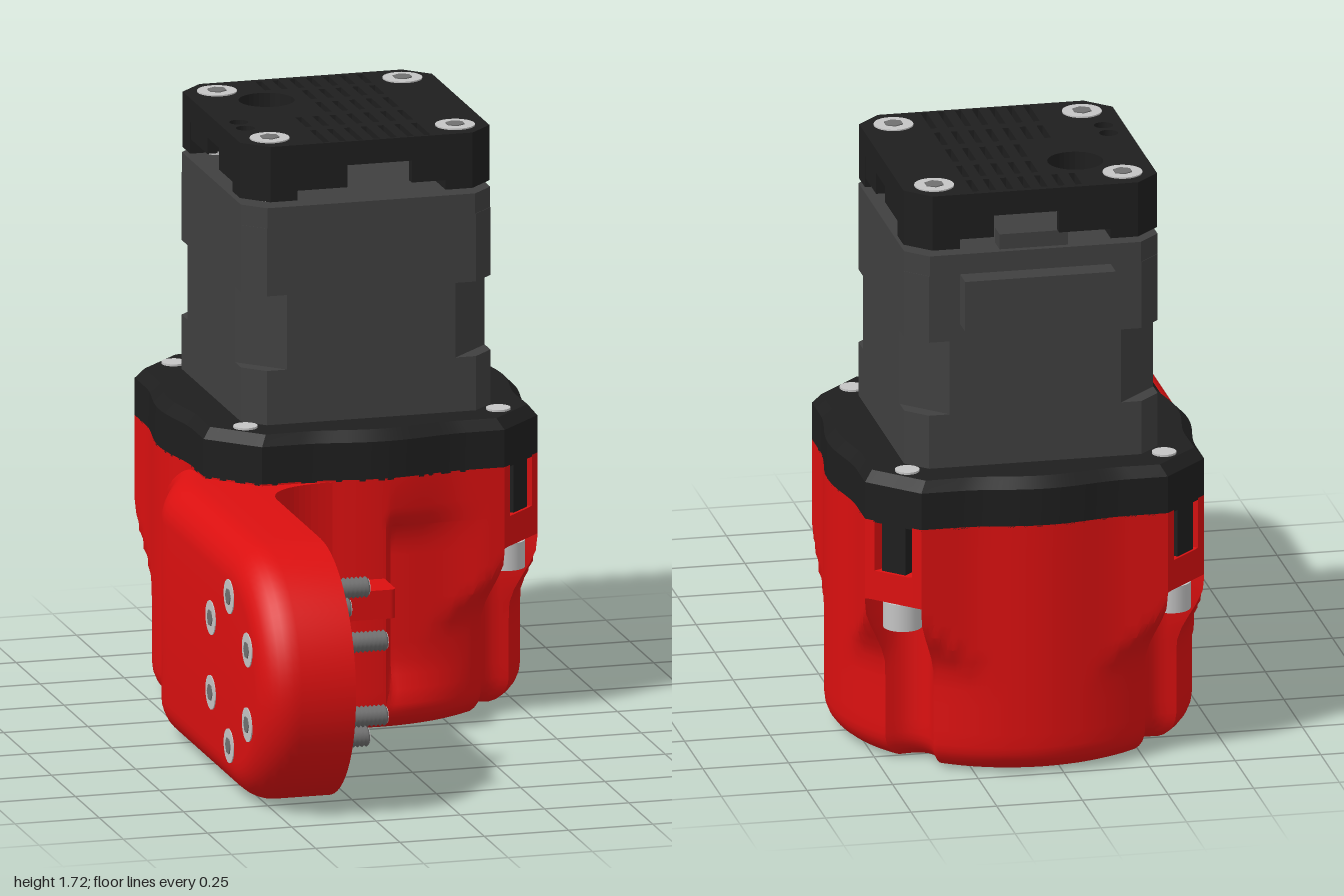
import * as THREE from 'three';
import { toCreasedNormals } from 'three/addons/utils/BufferGeometryUtils.js';

const { PI, sin, cos, abs, min, max, sqrt } = Math;
const mat = (name, color) => Object.assign(new THREE.MeshStandardMaterial({ color }), { name });
const smooth = (a, b, t) => THREE.MathUtils.smoothstep(t, a, b);

// Skin over rows of points
function loft(rows, crease = 0.6) {
  const n = rows[0].length, index = [];
  for (let i = 0; i < rows.length - 1; i++)
    for (let j = 0; j < n - 1; j++) {
      const a = i * n + j, d = a + n;
      index.push(a, a + 1, d + 1, a, d + 1, d);
    }
  const g = new THREE.BufferGeometry();
  g.setAttribute('position', new THREE.Float32BufferAttribute(rows.flat(2), 3));
  g.setIndex(index);
  return toCreasedNormals(g, crease);
}

const SEG = 240;
const ring = (y, r) => Array.from({ length: SEG + 1 }, (_, j) => {
  const t = (j / SEG) * 2 * PI, R = typeof r === 'number' ? r : r(t);
  return [R * sin(t), y, R * cos(t)];
});

// Wavy square outline with cut corners, as a radius by angle
function outline(t) {
  const q = ((t % (PI / 2)) + PI / 2) % (PI / 2), a = min(q, PI / 2 - q);
  const w = 0.495 + 0.015 * (1 + cos(PI * min(1, Math.tan(a) / 0.5)));
  return min(w / cos(a), 0.6046 / cos(PI / 4 - a));
}

// Housing wall: full outline above, round below with screw grooves in the corners
function wall(t, y) {
  let r = outline(t);
  const q = t % (PI / 2), d = abs(q - PI / 4);
  const armCorner = t > 1.5 * PI;
  if (!armCorner) {
    if (y < 0.51) {
      r = min(r, 0.525 + 0.09 * smooth(0.28, 0.5, y));
      const c = 0.55, g = 0.083, s = c * sin(d);
      if (s < g) r = min(r, c * cos(d) - sqrt(g * g - s * s));
    }
    if (y > 0.6 && d < 0.085) r = min(r, 0.555);
  }
  // scooped front
  if (t < 0.55) r -= 0.05 * smooth(0, 0.04, t) * (1 - t / 0.55) * smooth(0.06, 0.2, y) * (1 - smooth(0.55, 0.66, y));
  return r;
}

// Extrude a plan shape (x, -z) upward from y0 to y1
function slab(shape, y0, y1) {
  const g = new THREE.ExtrudeGeometry(shape, { depth: y1 - y0, bevelEnabled: false, curveSegments: 16 });
  return g.rotateX(-PI / 2).translate(0, y0, 0);
}
const poly = (pts) => new THREE.Shape(pts.map(([x, y]) => new THREE.Vector2(x, y)));
const octagon = (h, c) => poly([[h - c, -h], [h, c - h], [h, h - c], [h - c, h], [c - h, h], [-h, h - c], [-h, c - h], [c - h, -h]]);
const hole = (x, y, r) => new THREE.Path().absarc(x, y, r, 0, 2 * PI, true);
const corners = [[1, 1], [1, -1], [-1, -1], [-1, 1]];

export function createModel() {
  const red = mat('red plastic', 0xdb1010), black = mat('black plastic', 0x1e1e1e);
  const grey = mat('motor grey', 0x404040), steel = mat('light steel', 0xc4c4c4), dark = mat('dark steel', 0x707070);
  const model = new THREE.Group();
  const core = new THREE.Group();
  core.name = 'motorAndGearbox';
  core.position.set(0.05, 0, -0.475);
  model.add(core);
  const add = (parent, name, geo, m, x = 0, y = 0, z = 0) => {
    const mesh = new THREE.Mesh(geo, m);
    mesh.name = name;
    mesh.position.set(x, y, z);
    parent.add(mesh);
    return mesh;
  };
  const cyl = (r, h, n = 28) => new THREE.CylinderGeometry(r, r, h, n);
  const box = (w, h, d) => new THREE.BoxGeometry(w, h, d);
  // Socket head screw, top of the head at the local origin
  const screw = (parent, name, r, h) => {
    const g = new THREE.Group();
    g.name = name;
    add(g, 'head', cyl(r, h), steel, 0, -h / 2, 0);
    add(g, 'socket', cyl(r * 0.5, 0.004, 6), dark, 0, 0.001, 0);
    parent.add(g);
    return g;
  };

  // Housing with rounded foot and recess below
  const rows = [ring(0.05, 0), ring(0.05, 0.3), ring(0, 0.3)];
  for (let i = 0; i <= 6; i++) {
    const a = (i / 6) * PI / 2, y = 0.08 * (1 - cos(a));
    rows.push(ring(y, (t) => wall(t, y) - 0.08 * (1 - sin(a))));
  }
  for (const y of [0.12, 0.16, 0.2, 0.25, 0.3, 0.34, 0.38, 0.42, 0.46, 0.5, 0.509, 0.511, 0.55, 0.599, 0.601, 0.63, 0.66, 0.75])
    rows.push(ring(y, (t) => wall(t, y)));
  add(core, 'housing', loft(rows), red);

  // Output disc and hub under the housing
  add(core, 'outputDisc', cyl(0.27, 0.04, 48), dark, 0, 0.035, 0);
  const hub = [[0.08, 0.03], [0.08, 0.002], [0.115, 0.002], [0.115, 0.03]].map(([x, y]) => new THREE.Vector2(x, y));
  add(core, 'outputHub', new THREE.LatheGeometry(hub, 40), Object.assign(steel, { side: THREE.DoubleSide }));
  for (let i = 0; i < 6; i++)
    add(core, 'discScrew', cyl(0.018, 0.008, 14), steel, 0.2 * sin(i * PI / 3), 0.014, 0.2 * cos(i * PI / 3));

  // Flange with chamfered top
  add(core, 'flange', loft([
    ring(0.745, 0), ring(0.745, outline), ring(0.86, outline),
    ring(0.89, (t) => outline(t) - 0.03), ring(0.89, 0)], 0.4), black);

  // Corner posts, housing screws and their ends on the flange
  corners.forEach(([sx, sz]) => {
    add(core, 'flangeScrewEnd', cyl(0.035, 0.02), steel, 0.375 * sx, 0.886, 0.375 * sz);
    if (sx < 0 && sz > 0) return;
    const post = add(core, 'cornerPost', box(0.08, 0.145, 0.05), black, 0.408 * sx, 0.675, 0.408 * sz);
    post.rotation.y = Math.atan2(sx, sz);
    const s = screw(core, 'housingScrew', 0.056, 0.08);
    s.rotation.x = PI;
    s.position.set(0.392 * sx, 0.43, 0.392 * sz);
  });

  // Motor, with deeper corner cuts in the middle
  [['motorBase', 0.06, 0.88, 1.05], ['motorMiddle', 0.12, 1.05, 1.27], ['motorTop', 0.06, 1.27, 1.47], ['motorEndPlate', 0.062, 1.47, 1.53]]
    .forEach(([name, c, y0, y1]) => add(core, name, slab(octagon(0.37, c), y0, y1), grey));
  add(core, 'connector', box(0.44, 0.15, 0.08), grey, 0, 1.395, -0.4);
  add(core, 'connectorPlug', box(0.2, 0.05, 0.06), grey, 0, 1.55, -0.32);

  // Driver cover: lower plate, slotted upper plate, legs and skirts
  const base = octagon(0.37, 0.07), top = octagon(0.37, 0.07);
  for (const s of [base, top]) s.holes.push(hole(-0.165, 0.145, 0.08));
  top.holes.push(hole(-0.31, -0.075, 0.027), hole(-0.31, -0.145, 0.027));
  for (let i = 0; i < 7; i++)
    for (const [z0, z1] of [[-0.35, -0.25], [-0.22, -0.12], [-0.08, 0.03], [0.07, 0.18], [0.22, 0.36]]) {
      const x = -0.14 + i * 0.05;
      if (i < 2 && z0 < 0 && z1 > -0.24) continue;
      top.holes.push(new THREE.Path([[x, -z0], [x + 0.018, -z0], [x + 0.018, -z1], [x, -z1]].map((p) => new THREE.Vector2(...p))));
    }
  add(core, 'coverPlate', slab(base, 1.64, 1.675), black);
  add(core, 'coverSlottedTop', slab(top, 1.675, 1.71), black);
  corners.forEach(([sx, sz]) => {
    const leg = [[0.22, 0.22], [0.37, 0.22], [0.37, 0.3], [0.3, 0.37], [0.22, 0.37]].map(([x, z]) => [x * sx, -z * sz]);
    add(core, 'coverLeg', slab(poly(leg), 1.547, 1.645), black);
    add(core, 'spacer', cyl(0.03, 0.03), steel, 0.275 * sx, 1.54, 0.275 * sz);
    screw(core, 'coverScrew', 0.057, 0.03).position.set(0.275 * sx, 1.714, 0.275 * sz);
  });
  for (const s of [1, -1]) {
    add(core, 'coverSkirt', box(0.17, 0.07, 0.03), black, -0.155, 1.61, 0.354 * s);
    add(core, 'coverSkirt', box(0.12, 0.07, 0.03), black, 0.18, 1.61, 0.354 * s);
    add(core, 'coverSkirt', box(0.03, 0.07, 0.15), black, 0.354 * s, 1.61, 0.15);
    add(core, 'coverSkirt', box(0.03, 0.055, 0.17), black, 0.354 * s, 1.618, -0.13);
  }

  // Arm: stadium rings from the inner face to the rounded outer face, curving into the housing
  const R = 0.3725, cy = 0.3725, cz = 0.63;
  const armRing = (x, r) => {
    const pts = [], p = (z, y) => pts.push([x + 0.11 * smooth(-0.31, -0.47, x) * (1 - smooth(-0.4, -0.05, z)), y, z]);
    const shift = (z, y) => {
      const k = max(0, min(1, (-0.31 - x) / 0.16)) * (1 - smooth(-0.4, -0.05, z));
      pts.push([x + 0.11 * k, y, z]);
    };
    for (let i = 0; i < 24; i++) shift(-0.475 + (i / 24) * (cz + 0.475), cy - r);
    for (let i = 0; i <= 32; i++) shift(cz + r * cos((i / 32 - 0.5) * PI), cy + r * sin((i / 32 - 0.5) * PI));
    for (let i = 23; i >= 0; i--) shift(-0.475 + (i / 24) * (cz + 0.475), cy + r);
    return pts;
  };
  const armRows = [armRing(-0.31, R)];
  for (let i = 0; i <= 8; i++) {
    const a = (i / 8) * PI / 2;
    armRows.push(armRing(-0.47 - 0.11 * sin(a), R - 0.11 * (1 - cos(a))));
  }
  armRows.push(armRing(-0.58, 0));
  add(model, 'arm', loft(armRows), red);

  // Inner arm face with blind holes
  const face = new THREE.Shape();
  face.moveTo(0.475, 0).lineTo(0.475, 2 * cy).lineTo(-cz, 2 * cy);
  face.absarc(-cz, cy, R, PI / 2, 1.5 * PI, false);
  const pockets = [[cz, 0.085], [cz + 0.217, 0.033], [cz - 0.217, 0.033]];
  const redOpen = mat('red plastic inside', 0xdb1010);
  redOpen.side = THREE.DoubleSide;
  for (const [z, r] of pockets) {
    face.holes.push(hole(-z, cy, r));
    const tube = new THREE.CylinderGeometry(r, r, 0.1, 32, 1, true).rotateZ(PI / 2);
    add(model, 'armHoleWall', tube, redOpen, -0.36, cy, z);
    add(model, 'armHoleFloor', new THREE.CircleGeometry(r, 32).rotateY(PI / 2), red, -0.41, cy, z);
  }
  add(model, 'armInnerFace', new THREE.ShapeGeometry(face, 32).rotateY(PI / 2), red, -0.31, 0, 0);

  // Six arm bolts: head outside, threaded end inside
  const thread = [new THREE.Vector2(0, 0)];
  for (let i = 0; i <= 22; i++) thread.push(new THREE.Vector2(i % 2 ? 0.031 : 0.025, i * 0.14 / 22));
  thread.push(new THREE.Vector2(0, 0.14));
  const rod = new THREE.LatheGeometry(thread, 18).rotateZ(-PI / 2);
  for (let i = 0; i < 6; i++) {
    const y = cy + 0.22 * cos(i * PI / 3), z = cz + 0.22 * sin(i * PI / 3);
    add(model, 'boltThread', rod, dark, -0.31, y, z);
    add(model, 'boltTip', cyl(0.024, 0.004, 18).rotateZ(PI / 2), steel, -0.17, y, z);
    const s = screw(model, 'boltHead', 0.05, 0.03);
    s.rotation.z = PI / 2;
    s.position.set(-0.583, y, z);
  }

  // Fillet web and rib between arm and housing
  const web = new THREE.Shape();
  web.moveTo(-0.33, 0.2).lineTo(-0.33, -0.17).lineTo(-0.31, -0.17);
  web.quadraticCurveTo(-0.3, -0.03, -0.1, -0.03).lineTo(-0.1, 0.2);
  add(model, 'armWeb', slab(web, 0.02, 0.745), red);
  const rib = new THREE.Shape();
  rib.moveTo(-0.33, 0.05).lineTo(-0.33, -0.25).lineTo(-0.31, -0.25);
  rib.quadraticCurveTo(-0.31, -0.175, -0.235, -0.175).lineTo(0.025, -0.175);
  rib.quadraticCurveTo(0.045, -0.175, 0.045, -0.155).lineTo(0.045, 0.05);
  add(model, 'rib', slab(rib, 0.37, 0.455), red);

  return model;
}
